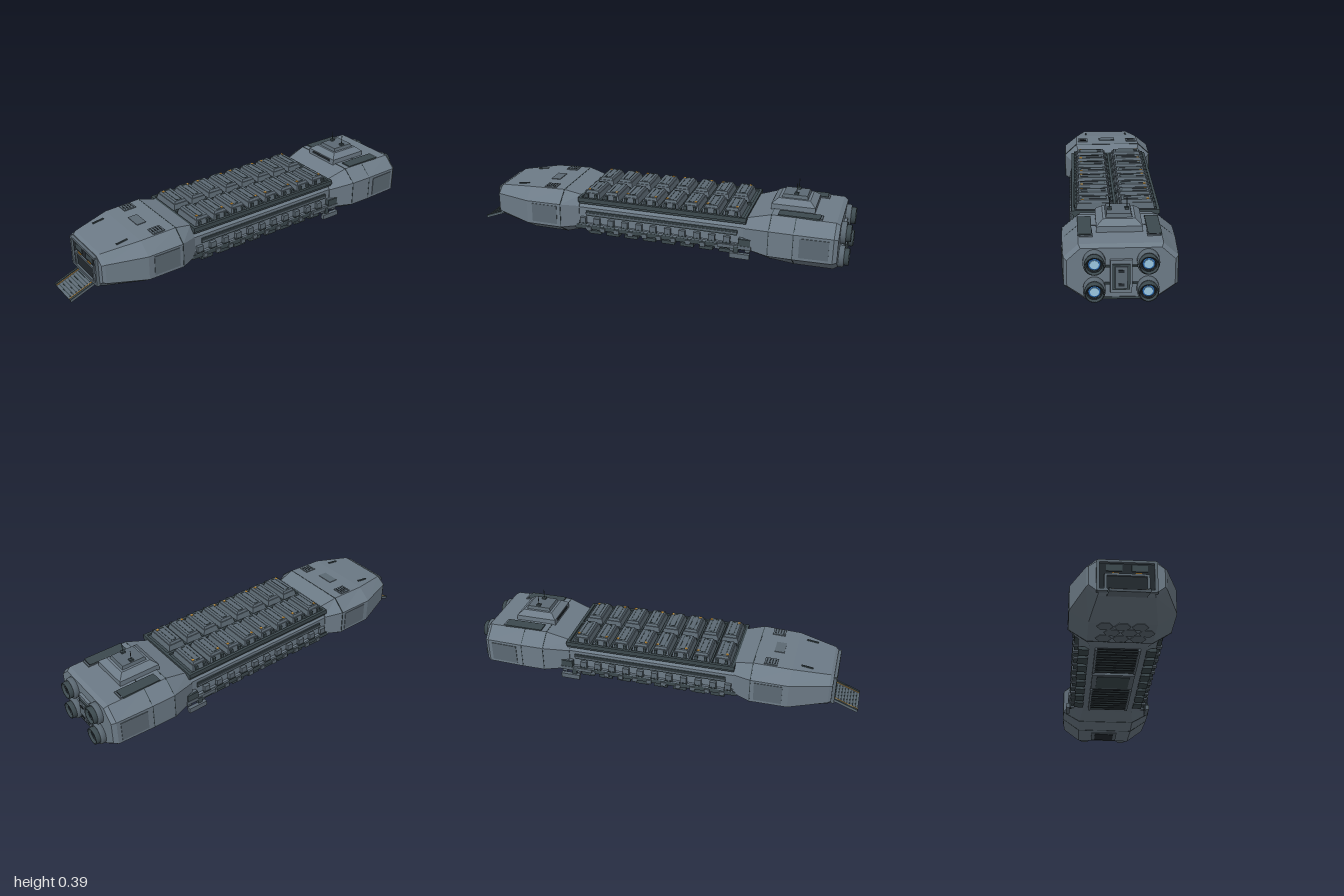
import * as THREE from 'three';

const mat = (name, color, extra = {}) => Object.assign(new THREE.MeshStandardMaterial({ color, ...extra }), { name });

export function createModel() {
  const hull = mat('hull grey', 0x6d7b87, { flatShading: true });
  const panel = mat('panel grey', 0x5c6973);
  const dark = mat('dark slate', 0x3c494e);
  const black = mat('near black', 0x232a2f);
  const orange = mat('marker orange', 0xc08a35);
  const glow = mat('engine glow', 0x9cc9e2);
  const blue = mat('engine blue', 0x2f6fb5);

  const ship = new THREE.Group();
  ship.name = 'cargoShip';
  const group = (name, parent = ship) => {
    const g = new THREE.Group();
    g.name = name;
    parent.add(g);
    return g;
  };
  const add = (parent, name, geo, m, x = 0, y = 0, z = 0) => {
    const mesh = new THREE.Mesh(geo, m);
    mesh.name = name;
    mesh.position.set(x, y, z);
    parent.add(mesh);
    return mesh;
  };
  const box = (p, name, m, x, y, z, sx, sy, sz) => add(p, name, new THREE.BoxGeometry(sx, sy, sz), m, x, y, z);

  // Box with its top face drawn in
  const frustum = (sx, sy, sz, inset) => {
    const geo = new THREE.BoxGeometry(sx, sy, sz).toNonIndexed();
    const p = geo.attributes.position;
    for (let i = 0; i < p.count; i++) if (p.getY(i) > 0) {
      p.setX(i, p.getX(i) - Math.sign(p.getX(i)) * inset);
      p.setZ(i, p.getZ(i) - Math.sign(p.getZ(i)) * inset);
    }
    geo.computeVertexNormals();
    return geo;
  };

  // Octagonal hull from stations: x, half width, bottom, top, bottom half, top half, side low, side high
  const loft = (stations) => {
    const rings = stations.map(([x, w, y0, y1, b, t, lo, hi]) =>
      [[t, y1], [-t, y1], [-w, hi], [-w, lo], [-b, y0], [b, y0], [w, lo], [w, hi]].map(([z, y]) => [x, y, z]));
    const v = [];
    const last = rings.length - 1;
    for (let s = 0; s < last; s++) for (let i = 0; i < 8; i++) {
      const j = (i + 1) % 8, [a, b, c, d] = [rings[s][i], rings[s + 1][i], rings[s + 1][j], rings[s][j]];
      v.push(...a, ...b, ...c, ...a, ...c, ...d);
    }
    for (let i = 1; i < 7; i++) {
      v.push(...rings[0][0], ...rings[0][i], ...rings[0][i + 1]);
      v.push(...rings[last][0], ...rings[last][i + 1], ...rings[last][i]);
    }
    const geo = new THREE.BufferGeometry();
    geo.setAttribute('position', new THREE.Float32BufferAttribute(v, 3));
    geo.computeVertexNormals();
    return geo;
  };

  // Hull sections
  add(ship, 'bowHull', loft([
    [-0.865, 0.165, 0.07, 0.228, 0.12, 0.12, 0.105, 0.195],
    [-0.85, 0.175, 0.06, 0.238, 0.125, 0.13, 0.1, 0.2],
    [-0.66, 0.243, 0.028, 0.265, 0.155, 0.175, 0.085, 0.21],
    [-0.47, 0.243, 0.028, 0.272, 0.155, 0.178, 0.085, 0.212],
    [-0.38, 0.203, 0.05, 0.25, 0.14, 0.165, 0.09, 0.2]]), hull);
  add(ship, 'midHull', loft([
    [-0.4, 0.2, 0.052, 0.225, 0.14, 0.175, 0.09, 0.195],
    [0.52, 0.2, 0.052, 0.225, 0.14, 0.175, 0.09, 0.195]]), hull);
  add(ship, 'sternHull', loft([
    [0.49, 0.205, 0.055, 0.235, 0.14, 0.165, 0.09, 0.195],
    [0.62, 0.25, 0.03, 0.275, 0.155, 0.18, 0.085, 0.215],
    [0.74, 0.25, 0.018, 0.275, 0.155, 0.18, 0.085, 0.215],
    [0.93, 0.242, 0.018, 0.272, 0.152, 0.178, 0.085, 0.213],
    [0.95, 0.228, 0.03, 0.26, 0.145, 0.17, 0.09, 0.206]]), hull);
  // Seam bands around the hull
  for (const [x, w] of [[-0.47, 0.2445], [0.62, 0.251], [0.74, 0.251]])
    add(ship, 'hullSeam', loft([-0.002, 0.002].map((d) =>
      [x + d, w, x < 0 ? 0.027 : x < 0.7 ? 0.029 : 0.017, x < 0 ? 0.273 : 0.276, 0.156, 0.18, 0.085, 0.214])), dark);

  // Bow face: framed recess with doorway and lamps
  const bow = group('bowFace');
  box(bow, 'bowRecess', black, -0.867, 0.145, 0, 0.006, 0.13, 0.24);
  for (const s of [-1, 1]) {
    box(bow, 'bowFrameSide', panel, -0.87, 0.145, s * 0.125, 0.02, 0.15, 0.014);
    box(bow, 'doorPost', panel, -0.872, 0.115, s * 0.092, 0.012, 0.08, 0.012);
    box(bow, 'bowWindow', dark, -0.871, 0.185, s * 0.055, 0.006, 0.03, 0.07);
    box(bow, 'bowLamp', orange, -0.873, 0.16, s * 0.05, 0.004, 0.006, 0.03);
  }
  for (const y of [0.075, 0.217]) box(bow, 'bowFrameRail', panel, -0.87, y, 0, 0.02, 0.012, 0.25);
  box(bow, 'doorBeam', panel, -0.872, 0.152, 0, 0.012, 0.01, 0.19);

  // Boarding ramp
  const ramp = group('boardingRamp');
  ramp.position.set(-0.925, 0.036, 0);
  ramp.rotation.z = 0.369;
  box(ramp, 'rampDeck', panel, 0, 0, 0, 0.158, 0.011, 0.172);
  for (let i = 0; i < 9; i++) box(ramp, 'rampTread', dark, -0.064 + i * 0.016, 0.006, 0, 0.005, 0.004, 0.12);
  for (const s of [-1, 1]) {
    box(ramp, 'rampRail', dark, 0, 0.006, s * 0.081, 0.156, 0.008, 0.01);
    box(ramp, 'rampStripe', orange, 0, 0.006, s * 0.069, 0.15, 0.003, 0.004);
  }

  // Cargo rack with two rows of containers
  const rack = group('cargoRack');
  box(rack, 'rackBed', dark, 0.06, 0.227, 0, 0.88, 0.024, 0.4);
  for (const s of [-1, 0, 1]) box(rack, 'rackRail', dark, 0.06, 0.238, s * 0.2, 0.88, 0.022, 0.014);
  for (const x of [-0.375, 0.495]) box(rack, 'rackEnd', dark, x, 0.238, 0, 0.014, 0.022, 0.414);
  for (let i = 0; i < 8; i++) for (const s of [-1, 1]) {
    const c = group('container', rack);
    c.position.set(-0.314 + i * 0.1055, 0.24, s * 0.1);
    add(c, 'containerBody', frustum(0.092, 0.03, 0.172, 0.007), panel, 0, 0.015, 0);
    add(c, 'containerLid', frustum(0.07, 0.013, 0.15, 0.005), panel, 0, 0.036, 0);
    for (const k of [-1, 1]) {
      box(c, 'lidInset', dark, k * 0.014, 0.0425, 0, 0.004, 0.003, 0.12);
      box(c, 'lidClasp', dark, 0, 0.0425, k * 0.06, 0.022, 0.003, 0.006);
      box(c, 'endClamp', dark, k * 0.024, 0.016, s * 0.086, 0.014, 0.024, 0.012);
    }
    box(c, 'containerMarker', orange, (i % 2 ? 1 : -1) * 0.022, 0.043, s * 0.055, 0.012, 0.003, 0.012);
    if (i < 7) box(rack, 'rackDivider', dark, c.position.x + 0.0528, 0.242, s * 0.1, 0.009, 0.012, 0.18);
  }

  // Flank machinery, mirrored
  for (const s of [-1, 1]) {
    const f = group(s > 0 ? 'frontFlank' : 'rearFlank');
    box(f, 'upperGroove', dark, 0.06, 0.166, s * 0.2, 0.8, 0.026, 0.014);
    box(f, 'groovePipe', panel, 0.06, 0.166, s * 0.207, 0.8, 0.008, 0.008);
    box(f, 'lowerGroove', dark, 0.05, 0.09, s * 0.2, 0.9, 0.022, 0.02);
    box(f, 'flankLedge', hull, 0.06, 0.107, s * 0.203, 0.88, 0.008, 0.02);
    for (let i = 0; i < 12; i++) {
      const x = -0.355 + i * 0.0765;
      box(f, 'flankBox', panel, x, 0.129, s * 0.205, 0.032, 0.03, 0.024);
      box(f, 'flankBoxBase', dark, x, 0.112, s * 0.208, 0.04, 0.006, 0.022);
      box(f, 'flankBracket', panel, x + 0.03, 0.083, s * 0.203, 0.026, 0.022, 0.026);
    }
    for (let i = 0; i < 8; i++) box(f, 'underPlate', dark, -0.3 + i * 0.1, 0.056, s * 0.165, 0.07, 0.018, 0.05);
    // Docking arm near the stern
    const arm = group('dockingArm', f);
    box(arm, 'armBeam', panel, 0.45, 0.098, s * 0.215, 0.17, 0.018, 0.02);
    box(arm, 'armBlock', dark, 0.5, 0.125, s * 0.212, 0.06, 0.035, 0.024);
    box(arm, 'armPod', panel, 0.48, 0.056, s * 0.225, 0.1, 0.026, 0.02);
    box(arm, 'armStrut', dark, 0.46, 0.075, s * 0.217, 0.025, 0.05, 0.018);
    // Deck-edge trim and side panels on the stern and bow
    box(f, 'sternTrim', dark, 0.75, 0.275, s * 0.15, 0.2, 0.012, 0.06);
    box(f, 'sternPanel', panel, 0.84, 0.15, s * 0.247, 0.14, 0.1, 0.004).rotation.y = s * 0.042;
    box(f, 'bowPanel', panel, -0.56, 0.15, s * 0.243, 0.14, 0.1, 0.005);
  }

  // Deck vents
  const vent = (x, y, z, tilt = 0) => {
    const v = group('deckVent');
    v.position.set(x, y, z);
    v.rotation.z = tilt;
    box(v, 'ventPlate', panel, 0, 0, 0, 0.064, 0.007, 0.056);
    for (let i = 0; i < 4; i++) box(v, 'ventSlot', black, -0.021 + i * 0.014, 0.003, 0, 0.006, 0.004, 0.04);
  };
  for (const s of [-1, 1]) {
    vent(-0.555, 0.27, s * 0.14, 0.037);
    vent(0.83, 0.275, s * 0.145);
    box(ship, 'bowSlit', dark, -0.73, 0.257, s * 0.12, 0.06, 0.006, 0.008).rotation.z = 0.14;
  }
  box(ship, 'bowHatch', panel, -0.58, 0.269, 0, 0.05, 0.005, 0.09).rotation.z = 0.037;

  // Command tower with twin antennas
  const tower = group('commandTower');
  box(tower, 'towerBase', hull, 0.71, 0.284, 0, 0.215, 0.032, 0.2);
  add(tower, 'towerShoulder', frustum(0.215, 0.024, 0.2, 0.03), hull, 0.71, 0.312, 0);
  add(tower, 'towerCap', frustum(0.13, 0.016, 0.116, 0.005), panel, 0.71, 0.332, 0);
  for (const s of [-1, 1]) {
    box(tower, 'antennaBase', dark, 0.715, 0.344, s * 0.038, 0.02, 0.01, 0.018);
    add(tower, 'antenna', new THREE.CylinderGeometry(0.002, 0.002, 0.05, 8), dark, 0.715, 0.37, s * 0.038);
  }
  box(tower, 'towerWindow', black, 0.6015, 0.288, 0, 0.004, 0.012, 0.14);

  // Four engines
  const lathe = (pts) => new THREE.LatheGeometry(pts.map(([r, h]) => new THREE.Vector2(r, h)), 32);
  const disc = (r, h) => new THREE.CylinderGeometry(r, r, h, 32);
  for (const s of [-1, 1]) for (const y of [0.2, 0.075]) {
    const e = group('engine');
    e.position.set(0.94, y, s * 0.113);
    e.rotation.z = -Math.PI / 2;
    const housing = add(e, 'engineHousing', lathe([[0.04, 0], [0.048, 0.012], [0.048, 0.03], [0.043, 0.036], [0.038, 0.036], [0.038, 0]]), panel);
    housing.scale.x = 1.16;
    add(e, 'nozzle', lathe([[0.04, 0.02], [0.043, 0.045], [0.041, 0.059], [0.036, 0.059], [0.03, 0.03], [0, 0.03]]), dark);
    add(e, 'nozzleRing', new THREE.TorusGeometry(0.031, 0.004, 8, 32), black, 0, 0.043, 0).rotation.x = Math.PI / 2;
    add(e, 'plasmaRing', disc(0.026, 0.006), blue, 0, 0.036, 0);
    add(e, 'plasmaCore', disc(0.019, 0.006), glow, 0, 0.039, 0);
  }

  // Stern door between the engines
  const door = group('sternDoor');
  box(door, 'doorSurround', hull, 0.955, 0.135, 0, 0.018, 0.15, 0.092);
  box(door, 'doorGasket', dark, 0.964, 0.135, 0, 0.014, 0.116, 0.074);
  box(door, 'doorLeaf', panel, 0.972, 0.135, 0, 0.01, 0.1, 0.052);
  for (const y of [0.166, 0.104]) box(door, 'doorWindow', black, 0.977, y, 0, 0.006, 0.012, 0.024);
  for (const s of [-1, 1]) for (const y of [0.1, 0.178]) box(door, 'doorPipe', dark, 0.953, y, s * 0.055, 0.008, 0.008, 0.03);
  box(ship, 'sternSill', dark, 0.945, 0.031, 0, 0.016, 0.01, 0.27);

  // Underside: ribbed bays, hatch and armour plates
  const belly = group('belly');
  for (const [x, len] of [[-0.21, 0.28], [0.31, 0.3]]) {
    box(belly, 'bayFloor', black, x, 0.05, 0, len, 0.008, 0.2);
    for (let i = 0; i < 9; i++) box(belly, 'bayRib', dark, x + (i - 4) * len / 9, 0.046, 0, 0.01, 0.01, 0.2);
    for (const s of [-1, 1]) box(belly, 'bayRail', panel, x, 0.047, s * 0.105, len, 0.014, 0.012);
  }
  box(belly, 'centreHatch', panel, 0.045, 0.047, 0, 0.19, 0.014, 0.22);
  box(belly, 'centreHatchDoor', dark, 0.045, 0.04, 0, 0.15, 0.006, 0.17);
  box(belly, 'sternHatch', panel, 0.84, 0.017, 0, 0.13, 0.008, 0.15);
  box(belly, 'sternHatchDoor', black, 0.84, 0.013, 0, 0.1, 0.006, 0.11);
  for (let i = 0; i < 3; i++) for (let k = -1; k <= 1; k++)
    add(belly, 'armourPlate', new THREE.CylinderGeometry(0.038, 0.038, 0.006, 6), panel, -0.63 + i * 0.06, 0.028, k * 0.08 + (i % 2 ? 0.035 : 0));
  return ship;
}
